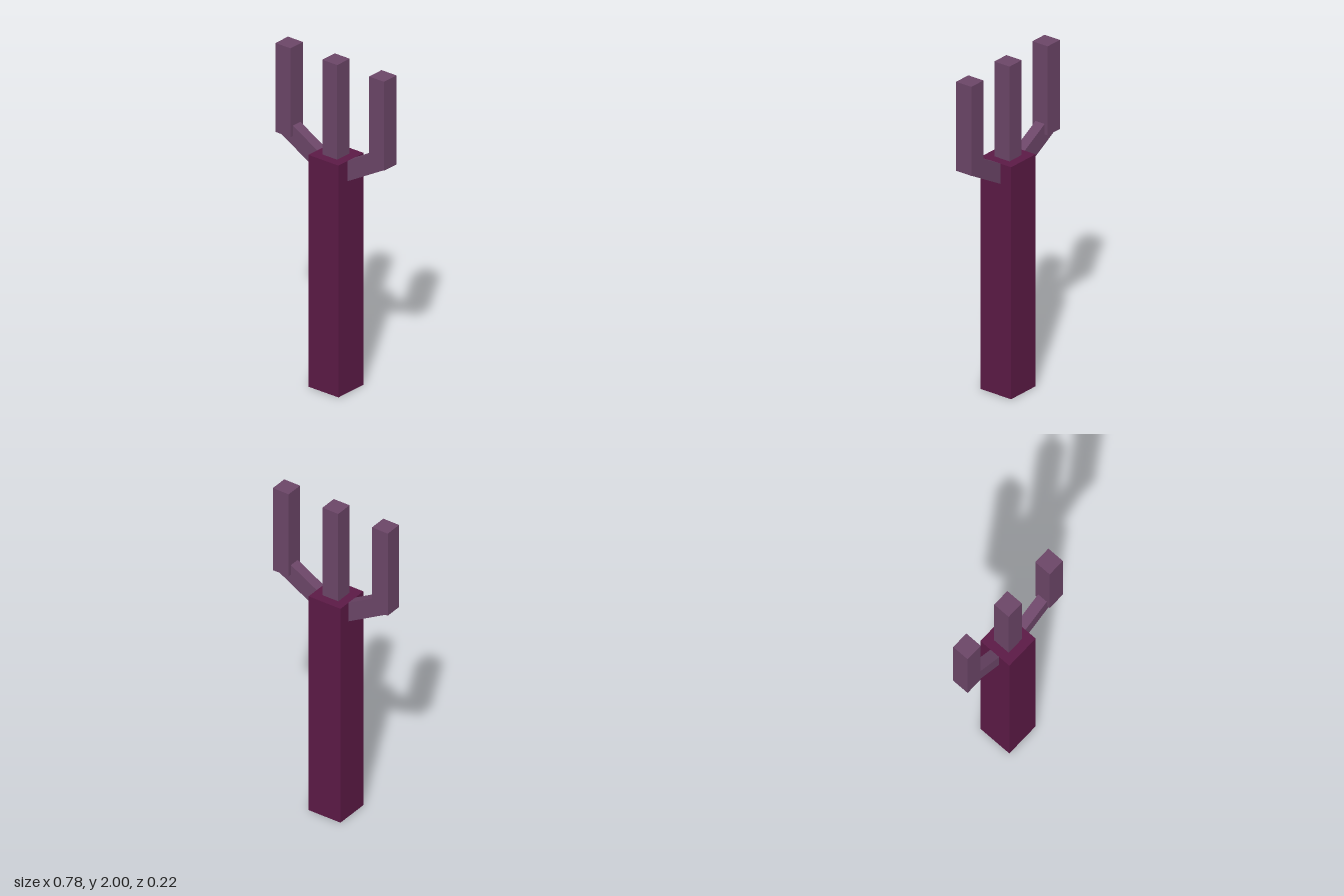
import * as THREE from 'three';

export function createModel() {
  const model = new THREE.Group();
  const handleMat = new THREE.MeshStandardMaterial({ color: 0x5c1a46, flatShading: true });
  const prongMat = new THREE.MeshStandardMaterial({ color: 0x6c4668, flatShading: true });

  const addBox = (name, mat, size, position, tilt = 0) => {
    const mesh = new THREE.Mesh(new THREE.BoxGeometry(...size), mat);
    mesh.name = name;
    mesh.position.set(...position);
    mesh.rotation.z = tilt;
    model.add(mesh);
  };

  // square shaft
  const shaftTop = 1.42;
  addBox('handle', handleMat, [0.217, shaftTop, 0.217], [0, shaftTop / 2, 0]);

  // middle prong, seated in the top of the handle
  const w = 0.108;
  addBox('middleProng', prongMat, [w, 0.6, w], [0, 1.7, 0]);

  // side prongs, each carried by a slanted arm
  const prongX = 0.338, prongBottom = 1.455;
  const tilt = 0.51, armLength = 0.38, armHeight = 0.108;
  const c = Math.cos(tilt), s = Math.sin(tilt);
  for (const [label, side] of [['left', 1], ['right', -1]]) {
    addBox(label + 'Prong', prongMat, [w, 2 - prongBottom, w],
      [side * prongX, (2 + prongBottom) / 2, 0]);
    // the arm's lower outer edge meets the prong's lower outer edge
    const x = prongX + w / 2 - (c * armLength + s * armHeight) / 2;
    const y = prongBottom + (c * armHeight - s * armLength) / 2;
    addBox(label + 'Arm', prongMat, [armLength, armHeight, 0.065], [side * x, y, 0], side * tilt);
  }
  return model;
}
